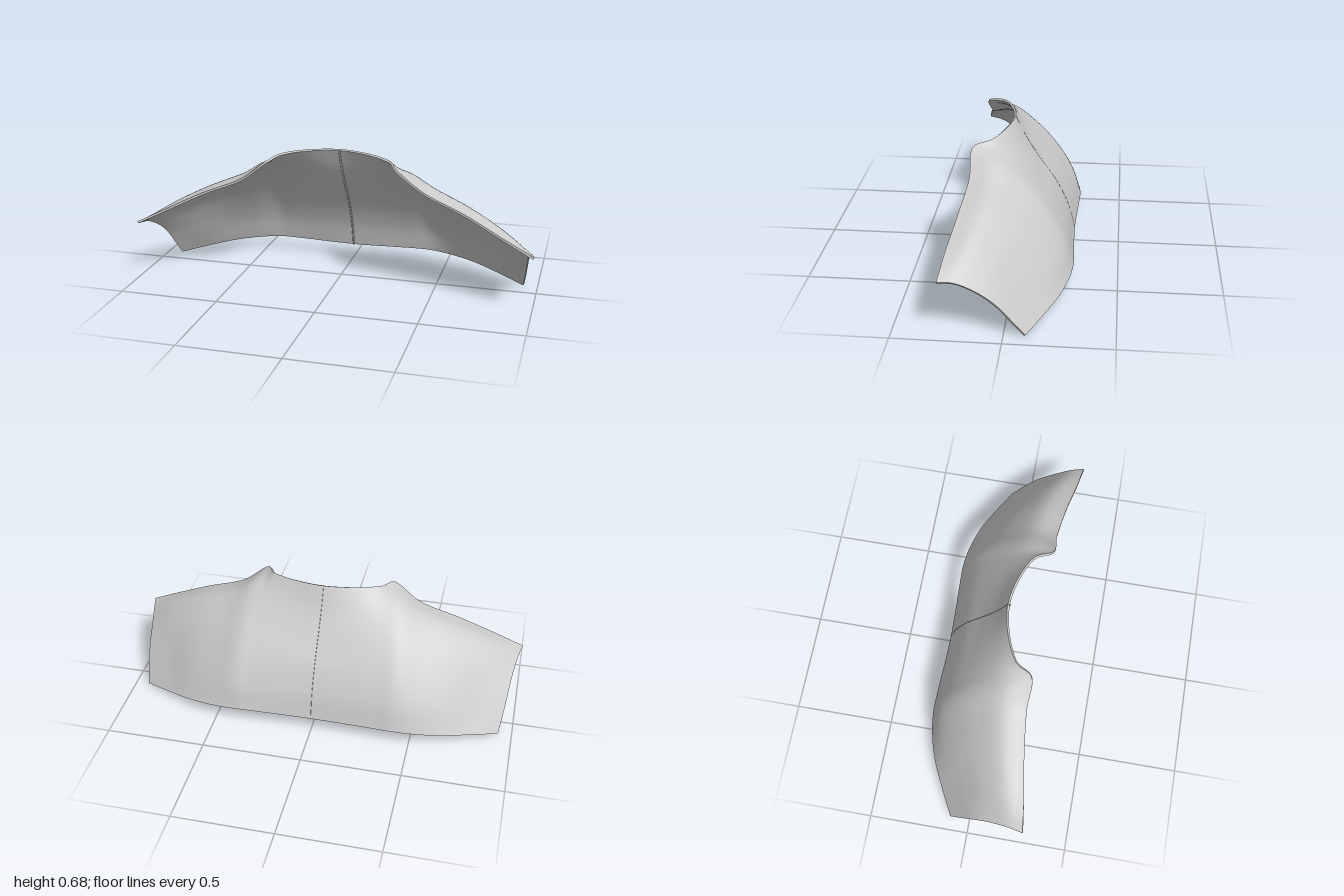
import * as THREE from 'three';
import { ParametricGeometry } from 'three/addons/geometries/ParametricGeometry.js';
import { mergeGeometries } from 'three/addons/utils/BufferGeometryUtils.js';

const THICKNESS = 0.011;

// Sections of one half, from the centre back out to the armhole.
// Each runs from the neck / front edge over the shoulder to the lower back edge.
const sections = [
  [[0, 0.683, 0.032], [0, 0.575, -0.02], [0, 0.455, -0.095], [0, 0.335, -0.177], [0, 0.205, -0.238], [0, 0.077, -0.273]],
  [[0.27, 0.667, 0.115], [0.29, 0.583, 0.02], [0.305, 0.468, -0.085], [0.31, 0.335, -0.182], [0.31, 0.205, -0.247], [0.31, 0.081, -0.283]],
  [[0.328, 0.645, 0.203], [0.37, 0.6, 0.075], [0.39, 0.488, -0.058], [0.405, 0.347, -0.173], [0.41, 0.21, -0.247], [0.41, 0.08, -0.285]],
  [[0.46, 0.545, 0.205], [0.485, 0.54, 0.09], [0.505, 0.445, -0.037], [0.515, 0.322, -0.143], [0.52, 0.197, -0.222], [0.52, 0.072, -0.272]],
  [[0.66, 0.462, 0.228], [0.665, 0.466, 0.12], [0.665, 0.39, 0.005], [0.66, 0.285, -0.093], [0.66, 0.175, -0.17], [0.66, 0.056, -0.233]],
  [[0.85, 0.37, 0.26], [0.845, 0.375, 0.165], [0.83, 0.312, 0.058], [0.82, 0.225, -0.022], [0.81, 0.13, -0.095], [0.8, 0.033, -0.168]],
  [[1, 0.297, 0.279], [0.983, 0.285, 0.205], [0.965, 0.231, 0.105], [0.955, 0.165, 0.025], [0.945, 0.088, -0.038], [0.932, 0.007, -0.1]],
];

// Smooth curves across the whole width, one per row of section points
const mirrored = sections.slice(1).reverse().map((s) => s.map(([x, y, z]) => [-x, y, z]));
const all = [...mirrored, ...sections];
const rows = sections[0].map((_, r) => new THREE.CatmullRomCurve3(all.map((s) => new THREE.Vector3(...s[r]))));

const outer = (u, v) => new THREE.CatmullRomCurve3(rows.map((row) => row.getPoint(u))).getPoint(v);

function inner(u, v) {
  const e = 1e-3;
  const span = (f, t) => f(Math.min(1, t + e)).sub(f(Math.max(0, t - e)));
  const du = span((t) => outer(t, v), u);
  const dv = span((t) => outer(u, t), v);
  return outer(u, v).addScaledVector(du.cross(dv).normalize(), -THICKNESS);
}

// One cloth panel between two width parameters: both faces and four rims
function panel(u0, u1) {
  const U = (s) => u0 + (u1 - u0) * s;
  const make = (f, nu, nv) => new ParametricGeometry((s, t, out) => out.copy(f(s, t)), nu, nv);
  const rim = (edge, outward, n) => make((s, w) => {
    const [u, v] = edge(s);
    return inner(u, v).lerp(outer(u, v), outward ? w : 1 - w);
  }, n, 1);
  return mergeGeometries([
    make((s, t) => outer(U(s), t), 48, 28),
    make((s, t) => inner(U(s), 1 - t), 48, 28),
    rim((s) => [U(s), 0], true, 48),
    rim((s) => [U(s), 1], false, 48),
    rim((s) => [u1, s], true, 28),
    rim((s) => [u0, s], false, 28),
  ]);
}

export function createModel() {
  const group = new THREE.Group();
  group.name = 'shoulderYoke';
  const material = new THREE.MeshStandardMaterial({ color: 0xcccccc, side: THREE.DoubleSide });
  const add = (name, geometry) => {
    const mesh = new THREE.Mesh(geometry, material);
    mesh.name = name;
    group.add(mesh);
  };

  // Two panels with a hairline gap at the centre back
  const gap = 0.0004;
  add('leftPanel', panel(0.5 + gap, 1));
  add('rightPanel', panel(0, 0.5 - gap));

  // Thin seam along the inside of the centre back
  const seam = [];
  for (let i = 0; i <= 12; i++) seam.push(inner(0.5, i / 12));
  add('centreSeam', new THREE.TubeGeometry(new THREE.CatmullRomCurve3(seam), 40, 0.005, 8));
  return group;
}
